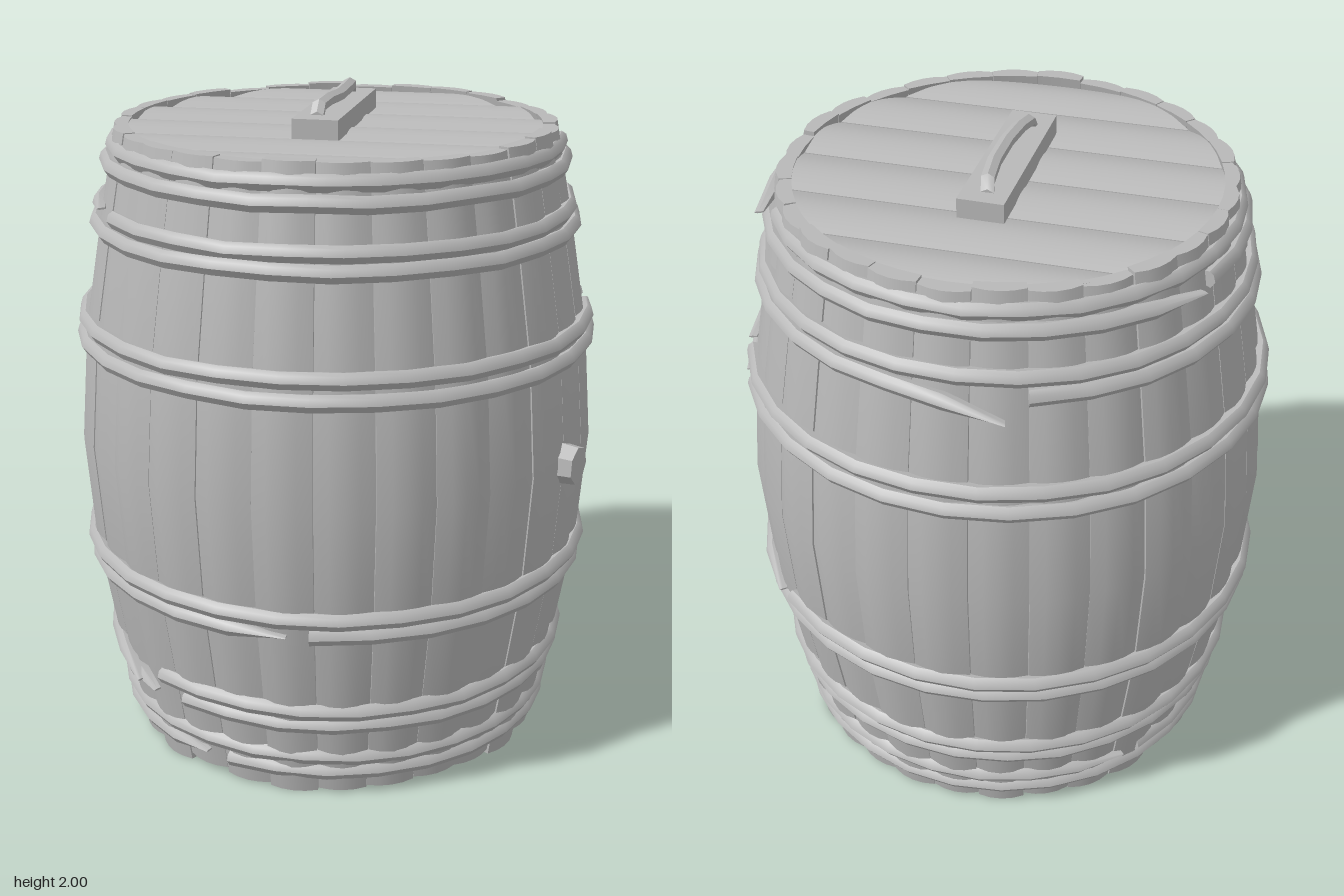
import * as THREE from 'three';
import { toCreasedNormals } from 'three/addons/utils/BufferGeometryUtils.js';

// Small seeded noise in 0..1
let seed = 7;
const rnd = () => (seed = (seed * 16807) % 2147483647) / 2147483647;

// Skin a row of equal cross-section loops, with capped ends
function loft(rings, crease = 0.7) {
  const n = rings[0].length, pos = [], idx = [];
  rings.forEach(r => r.forEach(p => pos.push(p.x, p.y, p.z)));
  for (let i = 0; i < rings.length - 1; i++) for (let j = 0; j < n; j++) {
    const a = i * n + j, b = i * n + (j + 1) % n;
    idx.push(a, b, a + n, b, b + n, a + n);
  }
  [0, rings.length - 1].forEach((k, end) => {
    const c = new THREE.Vector3();
    rings[k].forEach(p => c.addScaledVector(p, 1 / n));
    const ci = pos.length / 3;
    pos.push(c.x, c.y, c.z);
    for (let j = 0; j < n; j++) {
      const a = k * n + j, b = k * n + (j + 1) % n;
      if (end) idx.push(ci, a, b); else idx.push(ci, b, a);
    }
  });
  // Turn the faces outward by the sign of the enclosed volume
  const P = i => new THREE.Vector3().fromArray(pos, i * 3);
  let volume = 0;
  for (let i = 0; i < idx.length; i += 3)
    volume += P(idx[i]).dot(P(idx[i + 1]).cross(P(idx[i + 2])));
  if (volume < 0) idx.reverse();
  const g = new THREE.BufferGeometry();
  g.setAttribute('position', new THREE.Float32BufferAttribute(pos, 3));
  g.setIndex(idx);
  return toCreasedNormals(g, crease);
}

// Point at an angle from the front, turning toward +x
const polar = (a, r, y) => new THREE.Vector3(r * Math.sin(a), y, r * Math.cos(a));

export function createModel() {
  seed = 7;
  const group = new THREE.Group();
  const grey = new THREE.MeshStandardMaterial({ color: 0xb8b8b8 });
  grey.name = 'grey';
  const add = (name, geometry, parent = group) => {
    const m = new THREE.Mesh(geometry, grey);
    m.name = name;
    parent.add(m);
    return m;
  };
  const sub = name => {
    const g = new THREE.Group();
    g.name = name;
    group.add(g);
    return g;
  };

  // Bowed staves, each with a rounded outer face
  const staves = sub('staves');
  const profile = [[0, 0.66], [0.3, 0.712], [0.62, 0.766], [0.96, 0.792], [1.3, 0.766], [1.62, 0.712], [1.91, 0.66]];
  const count = 28, half = Math.PI / count;
  for (let s = 0; s < count; s++) {
    const mid = s * 2 * half, low = s % 5 ? rnd() * 0.025 : 0, high = rnd() * 0.015, shift = (rnd() - 0.5) * 0.008;
    const rings = profile.map(([y, r], i) => {
      const h = i === 0 ? low : i === profile.length - 1 ? y - high : y;
      const ring = [-1, -0.5, 0, 0.5, 1].map(t => polar(mid + t * half * 0.99, r + shift - 0.013 * t * t, h));
      [1, 0, -1].forEach(t => ring.push(polar(mid + t * half * 0.99, r - 0.045, h)));
      return ring;
    });
    add('stave', loft(rings, 0.8), staves);
  }

  // Split hoops: height, outer radius, angle of the split, outward flare, drop of the loose end
  const hoops = sub('hoops');
  const hoopList = [
    [1.85, 0.685, 2.03, 0.04, -0.02], [1.80, 0.705, 4.26, 0.02, 0],
    [1.67, 0.728, -0.97, 0.01, 0.02], [1.62, 0.742, 3.43, 0.05, -0.04],
    [1.335, 0.79, 1.87, 0, 0], [1.275, 0.795, 1.98, 0, 0],
    [0.625, 0.793, 2.31, 0, -0.02], [0.57, 0.783, 0.05, 0, 0],
    [0.30, 0.733, -0.68, 0.03, -0.03], [0.25, 0.722, -0.55, 0.05, 0.03],
    [0.13, 0.695, 4.0, 0, 0], [0.075, 0.686, -0.35, 0.02, 0.02],
  ];
  const section = [[-0.045, -0.018], [-0.014, -0.025], [0, -0.004], [-0.006, 0.016], [-0.02, 0.025], [-0.045, 0.018]];
  hoopList.forEach(([y, r, split, flare, drop]) => {
    const steps = 27, rings = [];
    for (let i = 0; i <= steps; i++) {
      const u = i / steps;
      const a = split + 0.045 + u * (Math.PI * 2 - 0.085);
      const loose = Math.max(0, (u - 0.92) / 0.08) ** 2;
      const wobble = i % steps ? (rnd() - 0.5) * 0.009 : 0;
      const size = i === steps ? 0.12 : 1;
      rings.push(section.map(([dr, dy]) =>
        polar(a, r + wobble * 0.5 + dr * (0.5 + size / 2) + flare * loose, y + wobble + dy * size + drop * loose)));
    }
    add('hoop', loft(rings, 0.8), hoops);
  });

  // Round heads made of cambered boards
  const cuts = [-0.63, -0.43, -0.22, 0, 0.215, 0.43, 0.63];
  const head = (name, y, out) => {
    const boards = sub(name);
    for (let b = 0; b < cuts.length - 1; b++) {
      const rings = [], z0 = cuts[b] + 0.002, z1 = cuts[b + 1] - 0.002;
      for (let i = 0; i <= 10; i++) {
        const t = i / 10, z = z0 + (z1 - z0) * t;
        const w = Math.sqrt(Math.max(0.0004, 0.632 ** 2 - z * z));
        const face = y + out * 0.022 * Math.sin(Math.PI * t), back = y - out * 0.03;
        rings.push([[-w, face], [w, face], [w, back], [-w, back]].map(([x, h]) => new THREE.Vector3(x, h, z)));
      }
      add('board', loft(rings), boards);
    }
  };
  head('topHead', 1.875, 1);
  head('bottomHead', 0.035, -1);

  // Lid handle: a mounting plate and a slightly bent bar
  const plate = add('handlePlate', new THREE.BoxGeometry(0.135, 0.06, 0.56));
  plate.position.y = 1.92;
  plate.rotation.y = -0.02;
  const path = [[0, 1.94, -0.225], [0.005, 1.975, -0.2], [0.014, 1.98, -0.1], [0.013, 1.978, 0.03], [0, 1.98, 0.12], [-0.012, 1.972, 0.185], [-0.014, 1.94, 0.21]];
  add('handleBar', loft(path.map(([x, y, z]) => {
    const ring = [];
    for (let j = 0; j < 6; j++) {
      const a = j * Math.PI / 3 + Math.PI / 6;
      ring.push(new THREE.Vector3(x + 0.022 * Math.cos(a), y + 0.02 * Math.sin(a), z));
    }
    return ring;
  }), 0.6));

  // Bung plugged into the side
  const bung = add('bung', toCreasedNormals(new THREE.CylinderGeometry(0.058, 0.068, 0.11, 7), 0.5));
  const out = polar(1.225, 1, 0);
  bung.position.copy(out).multiplyScalar(0.775).setY(0.96);
  bung.quaternion.setFromUnitVectors(new THREE.Vector3(0, 1, 0), out);

  return group;
}
